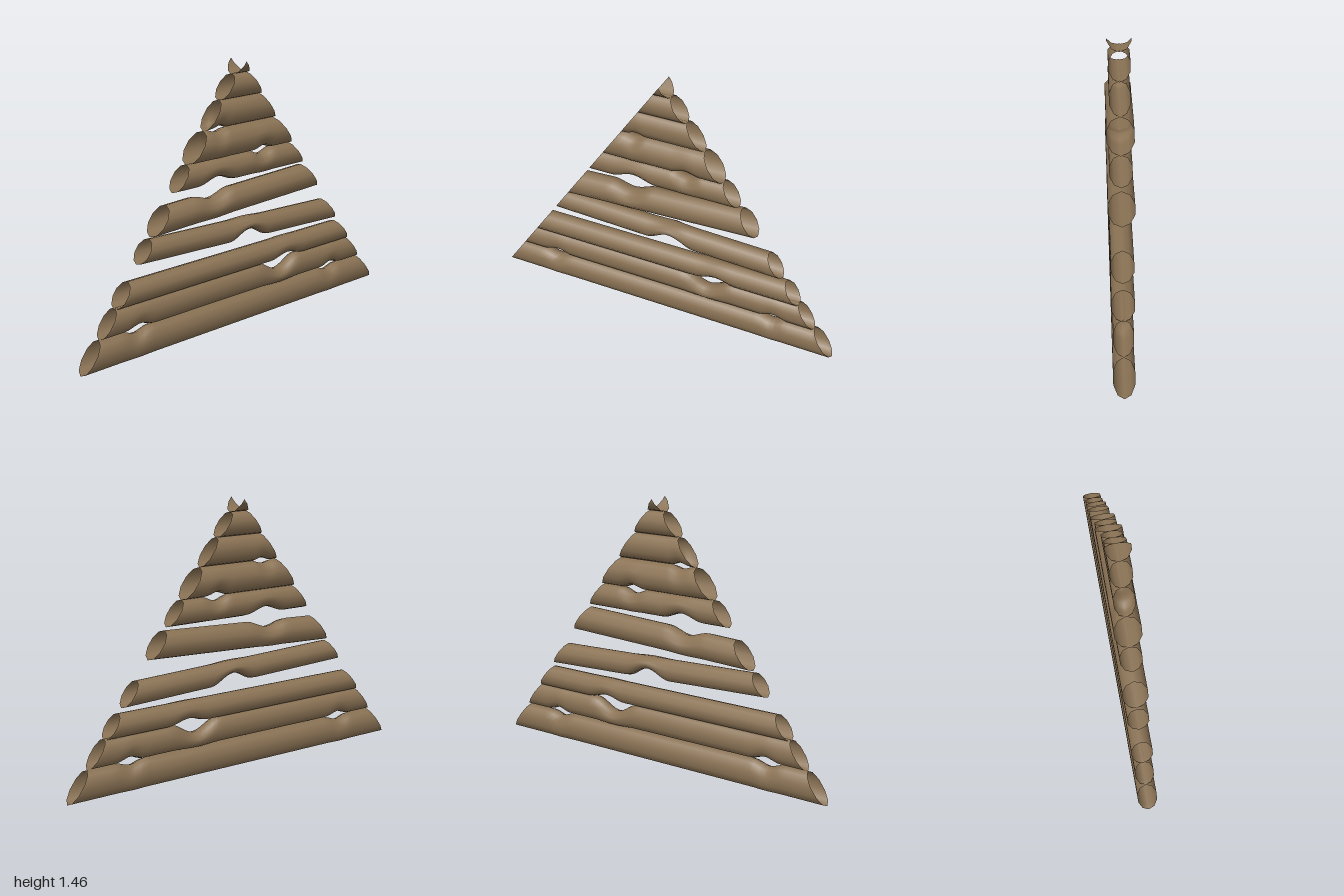
import * as THREE from 'three';

const APEX = 1.457;
const SIDES = 10;
const STATIONS = 72;

// Logs from the ground up: z = half depth, low and top = edge heights at x = 0,
// tilts = slopes of those edges, notches = [x, half length, rise] on each edge
const LOGS = [
  { z: 0.056, low: 0, top: 0.163, topNotches: [[-0.67, 0.09, -0.025], [0.65, 0.08, -0.022]] },
  { z: 0.053, low: 0.163, top: 0.31,
    lowNotches: [[-0.66, 0.09, 0.024], [0.66, 0.08, 0.024]], topNotches: [[0.27, 0.15, -0.066]] },
  { z: 0.06, low: 0.302, top: 0.428, lowNotches: [[0.32, 0.12, 0.028]] },
  { z: 0.06, low: 0.48, lowTilt: -0.04, top: 0.604, topTilt: -0.035, lowNotches: [[0.05, 0.14, 0.058]] },
  { z: 0.07, low: 0.655, lowTilt: 0.042, top: 0.8, topTilt: 0.045, topNotches: [[-0.18, 0.13, -0.034]] },
  { z: 0.06, low: 0.834, top: 0.967, lowNotches: [[-0.16, 0.13, 0.036]], topNotches: [[0.14, 0.09, -0.028]] },
  { z: 0.073, low: 0.962, top: 1.122, lowNotches: [[0.14, 0.08, 0.02]], topNotches: [[-0.15, 0.07, -0.016]] },
  { z: 0.056, low: 1.12, top: 1.268, lowNotches: [[-0.14, 0.06, 0.015]] },
  { z: 0.058, low: 1.262, top: 1.392 },
  { z: 0.066, low: 1.386, top: 1.52 },
];

// Half width of the gable at a height
const halfWidth = (y) => Math.max(0, (APEX - y) / APEX);

// Height of a tilted, notched log edge at x
function edgeHeight(x, base, tilt, notches) {
  let y = base + tilt * x;
  for (const [centre, half, rise] of notches) {
    const t = Math.min(1, Math.abs(x - centre) / half);
    y += rise * (0.5 + 0.5 * Math.cos(Math.PI * t));
  }
  return y;
}

// Hollow log whose open ends are cut along the roof slope
function logGeometry({ z, low, top, lowTilt = 0, topTilt = 0, lowNotches = [], topNotches = [] }) {
  const positions = [], indices = [];
  for (let i = 0; i <= STATIONS; i++) {
    const u = -1 + 2 * i / STATIONS;
    for (let j = 0; j < SIDES; j++) {
      const a = (j / SIDES) * Math.PI * 2;
      let y = (low + top) / 2;
      // Settle x and y together so that the ends follow the slope
      for (let k = 0; k < 5; k++) {
        const x = u * halfWidth(y);
        const lo = edgeHeight(x, low, lowTilt, lowNotches);
        const hi = edgeHeight(x, top, topTilt, topNotches);
        y = Math.min(APEX, (lo + hi) / 2 + (hi - lo) / 2 * Math.cos(a));
      }
      positions.push(u * halfWidth(y), y, z * Math.sin(a));
      if (i < STATIONS) {
        const p = i * SIDES + j, q = i * SIDES + (j + 1) % SIDES;
        indices.push(p, q, p + SIDES, q, q + SIDES, p + SIDES);
      }
    }
  }
  const geometry = new THREE.BufferGeometry();
  geometry.setAttribute('position', new THREE.Float32BufferAttribute(positions, 3));
  geometry.setIndex(indices);
  geometry.computeVertexNormals();
  return geometry;
}

export function createModel() {
  const wood = new THREE.MeshStandardMaterial({ color: 0x8b7355, side: THREE.DoubleSide });
  wood.name = 'weathered wood';

  const gable = new THREE.Group();
  gable.name = 'logGable';
  LOGS.forEach((spec, i) => {
    const log = new THREE.Mesh(logGeometry(spec), wood);
    log.name = `log${i + 1}`;
    gable.add(log);
  });
  return gable;
}
